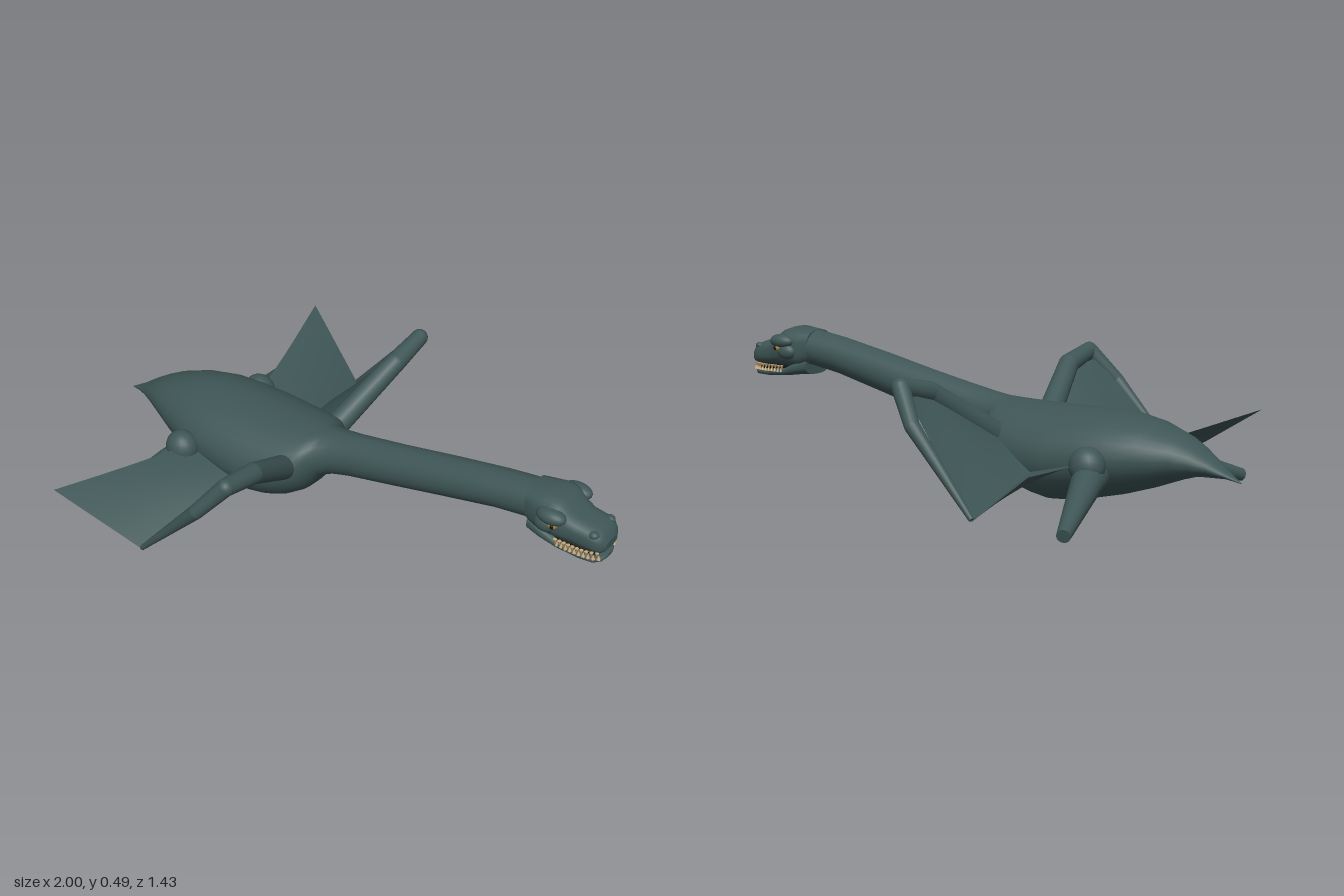
import * as THREE from 'three';

const mat = (name, color, side = THREE.FrontSide) => {
  const m = new THREE.MeshStandardMaterial({ color, side });
  m.name = name;
  return m;
};

// closed skin along x from sections [x, bottom, top, halfWidth]; power < 1 makes squarer rings
function loft(sections, sides = 28, power = 1) {
  const pos = [], idx = [], n = sections.length;
  const bend = v => Math.sign(v) * Math.pow(Math.abs(v), power);
  for (const [x, bottom, top, w] of sections) {
    for (let j = 0; j < sides; j++) {
      const a = (j / sides) * Math.PI * 2;
      pos.push(x, (bottom + top) / 2 + bend(Math.cos(a)) * (top - bottom) / 2, bend(Math.sin(a)) * w);
    }
  }
  for (let i = 0; i < n - 1; i++) {
    for (let j = 0; j < sides; j++) {
      const k = (j + 1) % sides, a = i * sides + j, b = i * sides + k;
      idx.push(a, b, a + sides, b, b + sides, a + sides);
    }
  }
  // end caps, with their own rings so the rim stays crisp
  [0, n - 1].forEach((r, end) => {
    const base = pos.length / 3, [x, bottom, top] = sections[r];
    for (let j = 0; j < sides; j++) {
      const o = (r * sides + j) * 3;
      pos.push(pos[o], pos[o + 1], pos[o + 2]);
    }
    pos.push(x, (bottom + top) / 2, 0);
    for (let j = 0; j < sides; j++) {
      const a = base + j, b = base + (j + 1) % sides, c = base + sides;
      if (end) idx.push(a, b, c); else idx.push(b, a, c);
    }
  });
  const g = new THREE.BufferGeometry();
  g.setAttribute('position', new THREE.Float32BufferAttribute(pos, 3));
  g.setIndex(idx);
  g.computeVertexNormals();
  return g;
}

// ruled sheet between two smooth edges
function sheet(edgeA, edgeB, along = 12, across = 6) {
  const A = new THREE.CatmullRomCurve3(edgeA), B = new THREE.CatmullRomCurve3(edgeB);
  const g = new THREE.PlaneGeometry(1, 1, along, across), p = g.attributes.position;
  for (let i = 0; i < p.count; i++) {
    const v = A.getPoint(p.getX(i) + 0.5).lerp(B.getPoint(p.getX(i) + 0.5), p.getY(i) + 0.5);
    p.setXYZ(i, v.x, v.y, v.z);
  }
  g.computeVertexNormals();
  return g;
}

export function createModel() {
  const model = new THREE.Group();
  model.name = 'wingedSeaCreature';
  const skin = mat('deepTealSkin', 0x3f5656);
  const web = mat('deepTealWeb', 0x3f5656, THREE.DoubleSide);
  const ivory = mat('ivoryTeeth', 0xc9a878);
  const amber = mat('amberEye', 0xa8803c);
  const black = mat('blackPupil', 0x101414);

  const add = (name, geometry, material, parent = model) => {
    const m = new THREE.Mesh(geometry, material);
    m.name = name;
    parent.add(m);
    return m;
  };
  const ball = (name, material, parent, at, size) => {
    const m = add(name, new THREE.SphereGeometry(1, 20, 14), material, parent);
    m.position.set(...at);
    m.scale.set(...size);
    return m;
  };
  // tapered rods joined by round joints
  const limb = (name, points, radii, parent) => {
    const group = new THREE.Group();
    group.name = name;
    parent.add(group);
    for (let i = 0; i < points.length - 1; i++) {
      const d = points[i + 1].clone().sub(points[i]);
      const m = add('segment', new THREE.CylinderGeometry(radii[i + 1], radii[i], d.length(), 18), skin, group);
      m.position.copy(points[i]).addScaledVector(d, 0.5);
      m.quaternion.setFromUnitVectors(new THREE.Vector3(0, 1, 0), d.normalize());
      if (i) ball('joint', skin, group, points[i].toArray(), [radii[i], radii[i], radii[i]]);
    }
  };

  // tail, body and neck in one skin
  add('bodyAndNeck', loft([
    [-1, 0.13, 0.134, 0.002], [-0.95, 0.141, 0.163, 0.025], [-0.9, 0.143, 0.2, 0.052],
    [-0.85, 0.135, 0.233, 0.08], [-0.8, 0.12, 0.26, 0.107], [-0.7, 0.082, 0.296, 0.155],
    [-0.6, 0.05, 0.314, 0.187], [-0.5, 0.026, 0.316, 0.204], [-0.4, 0.008, 0.316, 0.21],
    [-0.34, 0.002, 0.316, 0.208], [-0.27, 0.014, 0.316, 0.2], [-0.2, 0.042, 0.317, 0.186],
    [-0.15, 0.076, 0.319, 0.165], [-0.125, 0.104, 0.321, 0.14], [-0.11, 0.13, 0.323, 0.112],
    [-0.09, 0.151, 0.327, 0.092], [-0.05, 0.17, 0.334, 0.078], [0.02, 0.19, 0.347, 0.07],
    [0.2, 0.233, 0.382, 0.068], [0.4, 0.283, 0.425, 0.068], [0.6, 0.332, 0.464, 0.068],
    [0.74, 0.355, 0.485, 0.07],
  ]), skin);

  // head
  const head = new THREE.Group();
  head.name = 'head';
  model.add(head);
  add('skull', loft([
    [0.72, 0.36, 0.483, 0.068], [0.76, 0.345, 0.487, 0.08], [0.81, 0.345, 0.492, 0.09],
    [0.84, 0.346, 0.482, 0.09], [0.87, 0.346, 0.454, 0.08], [0.9, 0.345, 0.438, 0.073],
    [0.95, 0.343, 0.431, 0.071], [0.975, 0.342, 0.422, 0.066], [0.99, 0.345, 0.405, 0.056],
    [1, 0.355, 0.385, 0.035],
  ], 28, 0.72), skin, head);
  add('lowerJaw', loft([
    [0.73, 0.322, 0.39, 0.062], [0.78, 0.318, 0.37, 0.072], [0.84, 0.309, 0.342, 0.07],
    [0.92, 0.303, 0.332, 0.067], [0.97, 0.304, 0.33, 0.06], [0.99, 0.31, 0.329, 0.042],
    [0.997, 0.315, 0.326, 0.02],
  ], 28, 0.72), skin, head);
  add('mouthLining', loft([[0.78, 0.325, 0.36, 0.055], [0.96, 0.32, 0.36, 0.052], [0.975, 0.325, 0.35, 0.035]]), black, head);

  for (const s of [1, -1]) {
    const side = s > 0 ? 'left' : 'right';
    const P = (x, y, z) => new THREE.Vector3(x, y, z * s);

    // brow, eye and nostril
    ball(side + 'Brow', skin, head, [0.825, 0.442, 0.08 * s], [0.052, 0.026, 0.031]);
    ball(side + 'Cheek', skin, head, [0.805, 0.405, 0.078 * s], [0.04, 0.03, 0.026]);
    ball(side + 'Eye', amber, head, [0.836, 0.418, 0.088 * s], [0.018, 0.014, 0.016]);
    ball(side + 'Pupil', black, head, [0.84, 0.418, 0.1 * s], [0.007, 0.009, 0.0055]);
    ball(side + 'Nostril', skin, head, [0.962, 0.413, 0.05 * s], [0.017, 0.012, 0.016]);

    // upper and lower teeth
    for (let i = 0; i < 10; i++) {
      const x = 0.84 + i * 0.0155, z = (0.069 - 0.018 * Math.pow(i / 9, 5)) * s;
      for (const up of [1, 0]) {
        const t = add(side + 'Tooth', new THREE.ConeGeometry(0.0068, 0.018, 8), ivory, head);
        t.position.set(x + (up ? 0 : 0.006), up ? 0.341 : 0.334, z * (up ? 1 : 0.95));
        if (up) t.rotation.x = Math.PI;
      }
    }

    // wing arm and long finger
    const wing = new THREE.Group();
    wing.name = side + 'Wing';
    model.add(wing);
    limb(side + 'WingArm',
      [P(-0.185, 0.2, 0.12), P(-0.1, 0.382, 0.4), P(-0.095, 0.415, 0.54), P(-0.18, 0.31, 0.592), P(-0.42, 0.052, 0.61)],
      [0.044, 0.036, 0.03, 0.025, 0.009], wing);

    // wing skin, folded along a valley
    const valley = [P(-0.34, 0.13, 0.15), P(-0.39, 0.095, 0.38), P(-0.42, 0.045, 0.61)];
    add(side + 'FrontWeb', sheet([P(-0.18, 0.22, 0.15), P(-0.12, 0.36, 0.38), P(-0.125, 0.39, 0.545)], valley), web, wing);
    add(side + 'RearWeb', sheet(valley, [P(-0.55, 0.17, 0.15), P(-0.62, 0.2, 0.43), P(-0.7, 0.235, 0.717)]), web, wing);

    // hind flipper with round hip
    ball(side + 'Hip', skin, model, [-0.575, 0.17, 0.215 * s], [0.06, 0.062, 0.055]);
    limb(side + 'Flipper',
      [P(-0.56, 0.14, 0.15), P(-0.6, 0.12, 0.26), P(-0.712, 0.032, 0.552)],
      [0.058, 0.05, 0.022], model);
  }
  return model;
}
